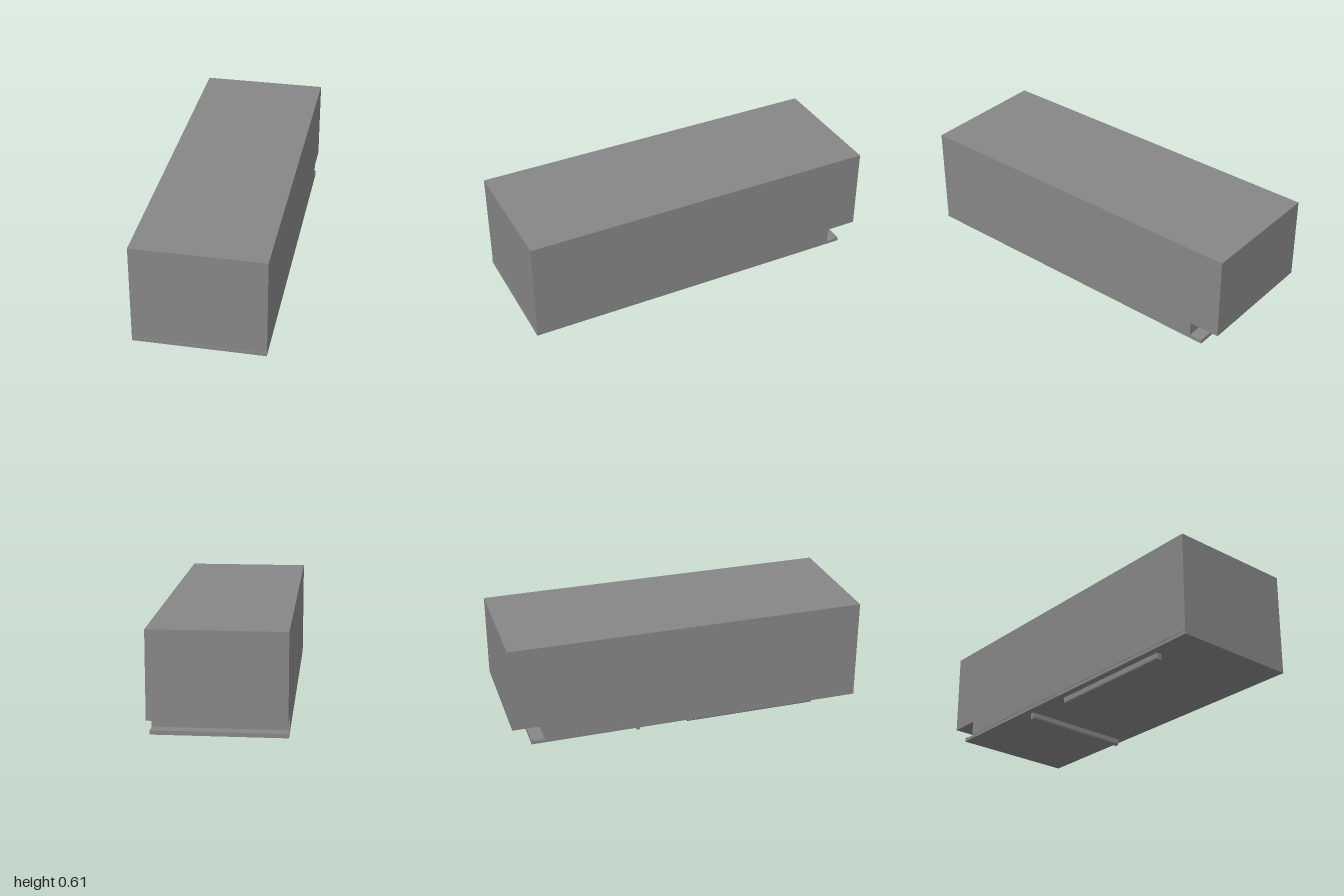
import * as THREE from 'three';

const grey = new THREE.MeshStandardMaterial({ color: 0x868686, flatShading: true });

// Extrudes a profile of [u, v] points along its depth, centred on that depth
function extrude(name, points, depth) {
  const shape = new THREE.Shape(points.map(([u, v]) => new THREE.Vector2(u, v)));
  const geometry = new THREE.ExtrudeGeometry(shape, { depth, bevelEnabled: false });
  geometry.translate(0, 0, -depth / 2);
  const mesh = new THREE.Mesh(geometry, grey);
  mesh.name = name;
  return mesh;
}

// Finger pull: a thin wall with a rounded lower bar and blocks closing the recess ends.
// It runs along local z; the recess opens towards local +x.
function makePull(name, length, width, endLength) {
  const pull = new THREE.Group();
  pull.name = name;
  const w = width / 2;
  const wall = -w + width * 0.45;
  pull.add(extrude('pullBar', [
    [-w, 0.038], [-w, 0.012], [-w + 0.001, 0.008], [-w + 0.003, 0.005], [-w + 0.007, 0.002],
    [w - 0.004, 0.002], [w, 0.006], [w, 0.025], [wall, 0.025], [wall, 0.038],
  ], length));
  for (const side of [-1, 1]) {
    const end = new THREE.Mesh(new THREE.BoxGeometry(w - wall, 0.013, endLength), grey);
    end.position.set((w + wall) / 2, 0.0315, side * (length - endLength) / 2);
    end.name = 'pullEnd';
    pull.add(end);
  }
  return pull;
}

export function createModel() {
  const model = new THREE.Group();
  model.name = 'cabinet';

  // Main box, notched along its lower back edge (profile u = -z, v = y)
  const body = extrude('body', [
    [-0.998, 0.058], [0.826, 0.058], [0.826, 0.142], [1, 0.142], [1, 0.61], [-0.998, 0.61],
  ], 0.714);
  body.rotation.y = Math.PI / 2;
  model.add(body);

  // Panel under the box, projecting into the notch with a slight raised lip
  const panel = extrude('basePanel', [
    [-1, 0.038], [0.9, 0.038], [0.9, 0.061], [0.884, 0.061], [0.884, 0.057], [-1, 0.057],
  ], 0.712);
  panel.rotation.y = Math.PI / 2;
  model.add(panel);

  // Lengthwise pull near the right edge
  const longPull = makePull('longPull', 0.756, 0.028, 0.055);
  longPull.position.set(-0.303, 0, 0.374);
  model.add(longPull);

  // Crosswise pull, its recess facing the back
  const crossPull = makePull('crossPull', 0.634, 0.025, 0.03);
  crossPull.rotation.y = Math.PI / 2;
  crossPull.position.set(0, 0, -0.289);
  model.add(crossPull);

  return model;
}
